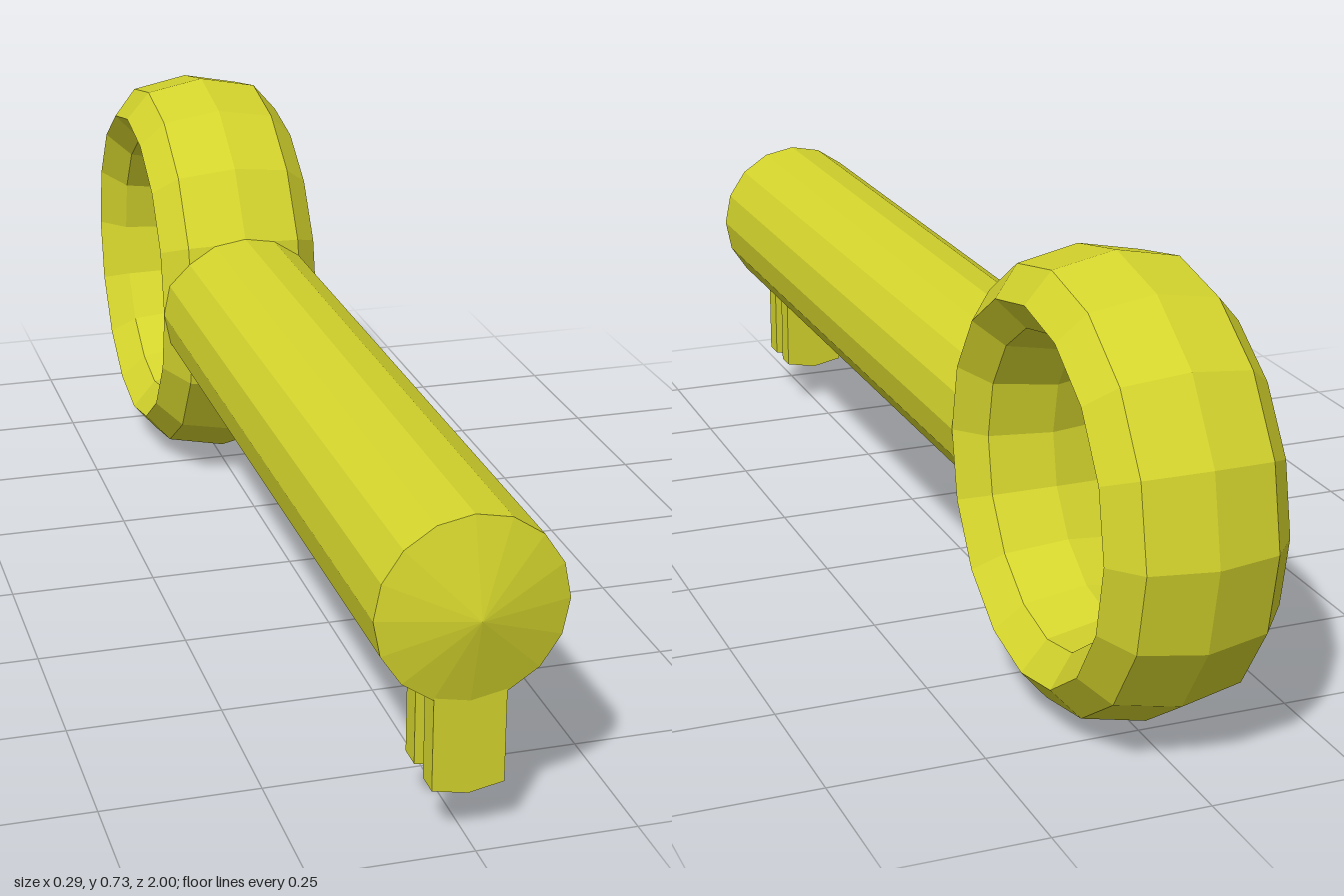
import * as THREE from 'three';

export function createModel() {
  const model = new THREE.Group();
  model.name = 'key';
  const brass = new THREE.MeshStandardMaterial({ color: 0xd4d42d, flatShading: true });
  brass.name = 'yellow brass';

  const AXIS_Y = 0.367; // height of the shaft axis
  const SHAFT_R = 0.146;

  const add = (name, geometry, y, z) => {
    const mesh = new THREE.Mesh(geometry, brass);
    mesh.name = name;
    mesh.position.set(0, y, z);
    model.add(mesh);
  };

  // Sixteen-sided shaft with a shallow conical tip, turned to point forward
  const profile = [[0, -0.34], [SHAFT_R, -0.34], [SHAFT_R, 0.96], [0, 1]]
    .map(([r, h]) => new THREE.Vector2(r, h));
  add('shaft', new THREE.LatheGeometry(profile, 16).rotateX(Math.PI / 2), AXIS_Y, 0);

  // Ring handle: faceted torus, stretched to the width of the shaft
  const ring = new THREE.TorusGeometry(0.295, 0.07, 8, 16);
  ring.scale(1, 1, SHAFT_R / 0.07).rotateY(Math.PI / 2);
  add('ringHandle', ring, AXIS_Y, -0.635);

  // Two teeth below the tip, each with a slightly pointed lower end
  const outline = new THREE.Shape([[-0.055, 0.28], [-0.055, 0.086], [0, 0.075], [0.055, 0.086], [0.055, 0.28]]
    .map(([x, y]) => new THREE.Vector2(x, y)));
  const tooth = new THREE.ExtrudeGeometry(outline, { depth: 0.04, bevelEnabled: false });
  add('frontTooth', tooth, 0, 0.921);
  add('rearTooth', tooth, 0, 0.84);

  return model;
}
